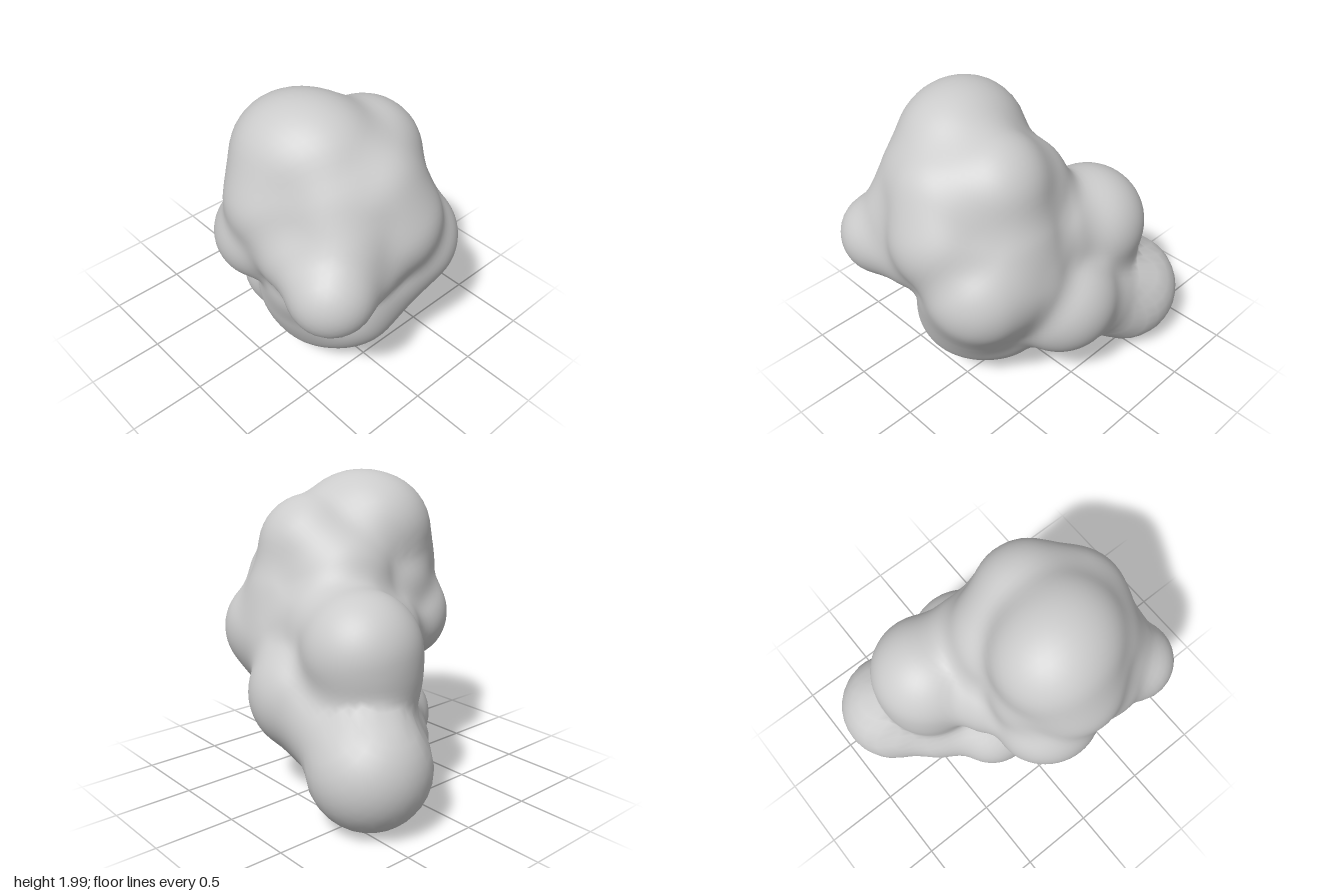
import * as THREE from 'three';
import { mergeVertices } from 'three/addons/utils/BufferGeometryUtils.js';

// Rounded lobes of the boulder: x, y, z, radius
const UNDERSIDE = [
  [0.22, 0.53, 0.05, 0.45],
  [0.4, 0.55, 0.05, 0.34],
  [0.25, 0.68, 0.22, 0.35],
  [0.35, 0.85, 0.34, 0.28],
  [-0.18, 0.45, -0.12, 0.35],
  [-0.14, 0.45, 0.12, 0.29],
  [-0.12, 0.42, -0.28, 0.31],
];
const BACK = [
  [0.42, 0.78, -0.08, 0.4],
  [0.55, 0.96, -0.23, 0.35],
  [0.02, 0.67, -0.38, 0.38],
  [0.3, 0.95, -0.2, 0.4],
  [0.33, 1.2, -0.16, 0.38],
];
const FOOT = [
  [-0.59, 0.38, -0.42, 0.375],
  [-0.28, 0.54, -0.39, 0.32],
  [-0.4, 0.42, -0.16, 0.3],
];
const SHOULDERS = [
  [-0.35, 1.0, -0.27, 0.37],
  [-0.38, 0.8, -0.25, 0.32],
  [-0.02, 1.08, -0.18, 0.36],
  [-0.08, 1.0, 0.05, 0.32],
  [0.59, 1.24, 0.0, 0.355],
];
const CROWN = [
  [0.32, 1.51, -0.1, 0.35],
  [0.5, 1.46, 0.08, 0.355],
  [0.1, 1.35, -0.05, 0.35],
  [0.17, 1.6, 0.29, 0.38],
  [0.3, 1.62, 0.23, 0.36],
  [0.45, 1.42, 0.28, 0.33],
  [0.2, 1.37, 0.41, 0.35],
];
const FRONT_BUMPS = [
  [0.0, 1.03, 0.42, 0.28],
  [0.07, 1.08, 0.48, 0.27],
  [0.0, 1.3, 0.3, 0.24],
  [0.7, 1.05, 0.5, 0.265],
  [0.42, 1.17, 0.46, 0.28],
  [0.6, 1.05, 0.25, 0.29],
  [0.6, 1.25, 0.35, 0.26],
];
const LOBES = [...UNDERSIDE, ...BACK, ...FOOT, ...SHOULDERS, ...CROWN, ...FRONT_BUMPS];
const BLEND = 0.09;
const CENTER = new THREE.Vector3(0.12, 0.9, 0);

// Signed distance to the softly blended lobes
function distance(p) {
  let d = Infinity;
  for (const [x, y, z, r] of LOBES) {
    const e = Math.hypot(p.x - x, p.y - y, p.z - z) - r;
    const h = Math.max(BLEND - Math.abs(d - e), 0);
    d = Math.min(d, e) - (h * h) / (4 * BLEND);
  }
  return d;
}

// Walk inwards along a direction until the surface is met
function surfacePoint(dir) {
  const p = new THREE.Vector3();
  let t = 2;
  for (let i = 0; i < 100; i++) {
    p.copy(CENTER).addScaledVector(dir, t);
    const d = distance(p);
    if (d < 0.0005) break;
    t -= d;
  }
  return p;
}

export function createModel() {
  const group = new THREE.Group();
  group.name = 'boulder';

  // Ball shrink-wrapped onto the blended lobes
  let geometry = new THREE.IcosahedronGeometry(1, 22);
  geometry.deleteAttribute('uv');
  geometry.deleteAttribute('normal');
  geometry = mergeVertices(geometry, 1e-4);
  const pos = geometry.attributes.position;
  const dir = new THREE.Vector3();
  for (let i = 0; i < pos.count; i++) {
    const p = surfacePoint(dir.fromBufferAttribute(pos, i).normalize());
    pos.setXYZ(i, p.x, p.y, p.z);
  }
  geometry.computeVertexNormals();

  const rock = new THREE.Mesh(geometry, new THREE.MeshStandardMaterial({ color: 0xcccccc }));
  rock.name = 'rock';
  group.add(rock);
  return group;
}
